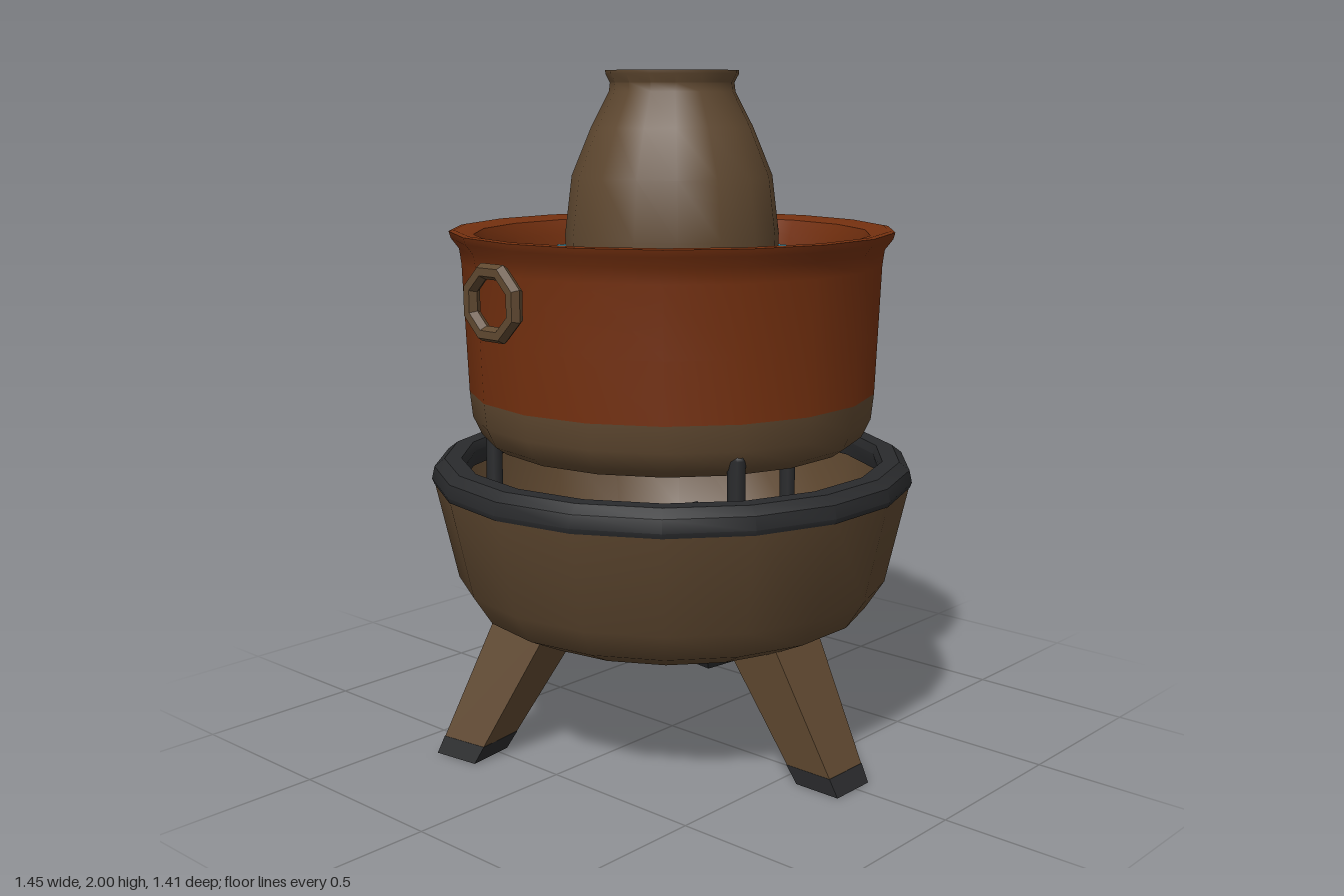
import * as THREE from 'three';
import { toCreasedNormals } from 'three/addons/utils/BufferGeometryUtils.js';

const paint = (name, color) => {
  const m = new THREE.MeshStandardMaterial({ color });
  m.name = name;
  return m;
};

export function createModel() {
  const group = new THREE.Group();
  const brown = paint('brown clay', 0x5f4830);
  const rust = paint('rust red', 0x74300f);
  const dark = paint('dark iron', 0x2a2b2d);
  const blue = paint('water blue', 0x3eb8e2);

  const add = (name, geometry, material, parent = group) => {
    const mesh = new THREE.Mesh(geometry, material);
    mesh.name = name;
    parent.add(mesh);
    return mesh;
  };
  const lathe = (points, sides) =>
    new THREE.LatheGeometry(points.map(([r, y]) => new THREE.Vector2(r, y)), sides);
  // Turned part with sharp rims and a corner on the x axis
  const turned = (name, points, material, sides = 18) => {
    const mesh = add(name, toCreasedNormals(lathe(points, sides), 0.65), material);
    mesh.rotation.y = sides === 18 ? Math.PI / 18 : 0;
    return mesh;
  };

  // Fire bowl, open at the top, with its iron rim
  turned('fireBowl', [
    [0, 0.355], [0.3, 0.357], [0.48, 0.372], [0.59, 0.425], [0.645, 0.51], [0.712, 0.81],
    [0.64, 0.81], [0.59, 0.55], [0.52, 0.46], [0.4, 0.43], [0, 0.42],
  ], brown);
  turned('bowlRim', [
    [0.63, 0.8], [0.712, 0.8], [0.718, 0.815], [0.71, 0.852], [0.68, 0.875],
    [0.63, 0.875], [0.62, 0.85], [0.63, 0.8],
  ], dark);

  // Splayed legs with dark feet: square sections tapering towards the ground
  const legSection = ([x0, z0, x1, z1, yaw], y0, y1, grow) => {
    const g = new THREE.BoxGeometry(2, y1 - y0, 2).translate(0, (y0 + y1) / 2, 0);
    g.rotateY(yaw);
    const p = g.attributes.position;
    for (let i = 0; i < p.count; i++) {
      const t = p.getY(i) / 0.37;
      const half = 0.072 + 0.027 * t + grow;
      p.setX(i, p.getX(i) * half + x0 + (x1 - x0) * t);
      p.setZ(i, p.getZ(i) * half + z0 + (z1 - z0) * t);
    }
    g.computeVertexNormals();
    return g;
  };
  const legs = {
    frontLeg: [-0.013, 0.628, -0.011, 0.405, 0],
    backLeftLeg: [0.545, -0.315, 0.365, -0.215, -0.13],
    backRightLeg: [-0.545, -0.315, -0.365, -0.215, 0.13],
  };
  for (const [name, spec] of Object.entries(legs)) {
    const leg = new THREE.Group();
    leg.name = name;
    add('shaft', legSection(spec, 0.05, 0.43, 0), brown, leg);
    add('foot', legSection(spec, 0, 0.05, 0.001), dark, leg);
    group.add(leg);
  }

  // Coals heaped on the bowl floor
  const coals = new THREE.Group();
  coals.name = 'coals';
  for (let i = 0; i < 12; i++) {
    const ring = i < 8 ? 0.32 : 0.13;
    const a = i < 8 ? i * Math.PI / 4 + 0.2 : i * Math.PI / 2 + 0.6;
    const coal = add('coal', new THREE.IcosahedronGeometry(0.1 + 0.015 * (i % 3), 0), dark, coals);
    coal.geometry = toCreasedNormals(coal.geometry, 0.1);
    coal.position.set(Math.cos(a) * ring, i < 8 ? 0.52 : 0.55, Math.sin(a) * ring);
    coal.rotation.set(i * 1.3, i * 2.1, i * 0.7);
    coal.scale.set(1.1, 0.85, 0.95);
  }
  group.add(coals);

  // Three iron posts holding the pot above the bowl
  for (let i = 0; i < 3; i++) {
    const a = i * Math.PI * 2 / 3;
    const post = add('potSupport', new THREE.CapsuleGeometry(0.025, 0.5, 3, 8), dark);
    post.position.set(Math.cos(a) * 0.562, 0.72, Math.sin(a) * 0.562);
  }

  // Pot: brown base, rust body with a flared lip
  turned('potBase', [
    [0, 0.91], [0.4, 0.912], [0.535, 0.922], [0.567, 0.945], [0.593, 1.0], [0.601, 1.075],
  ], brown);
  turned('potBody', [
    [0.601, 1.075], [0.608, 1.25], [0.616, 1.45], [0.622, 1.495], [0.645, 1.525], [0.651, 1.545],
    [0.635, 1.548], [0.58, 1.535], [0.56, 1.49], [0.545, 1.4], [0.5, 1.1], [0, 1.08],
  ], rust);

  // Water, with softly shaded edge
  add('water', lathe([[0.545, 1.4], [0.545, 1.46], [0, 1.46]], 18), blue);

  // Bottle-shaped chimney rising from the water
  turned('chimney', [
    [0.31, 1.4], [0.314, 1.53], [0.293, 1.7], [0.235, 1.84], [0.183, 1.94],
    [0.18, 1.965], [0.193, 1.99], [0.193, 2.0], [0, 2.0],
  ], brown, 16);

  // Ring handles on both sides
  for (const side of [-1, 1]) {
    const ring = new THREE.TorusGeometry(0.09, 0.023, 6, 8).rotateZ(Math.PI / 8).rotateY(Math.PI / 2);
    add(side > 0 ? 'leftHandle' : 'rightHandle', toCreasedNormals(ring, 0.3), brown)
      .position.set(side * 0.706, 1.392, 0);
  }

  return group;
}
